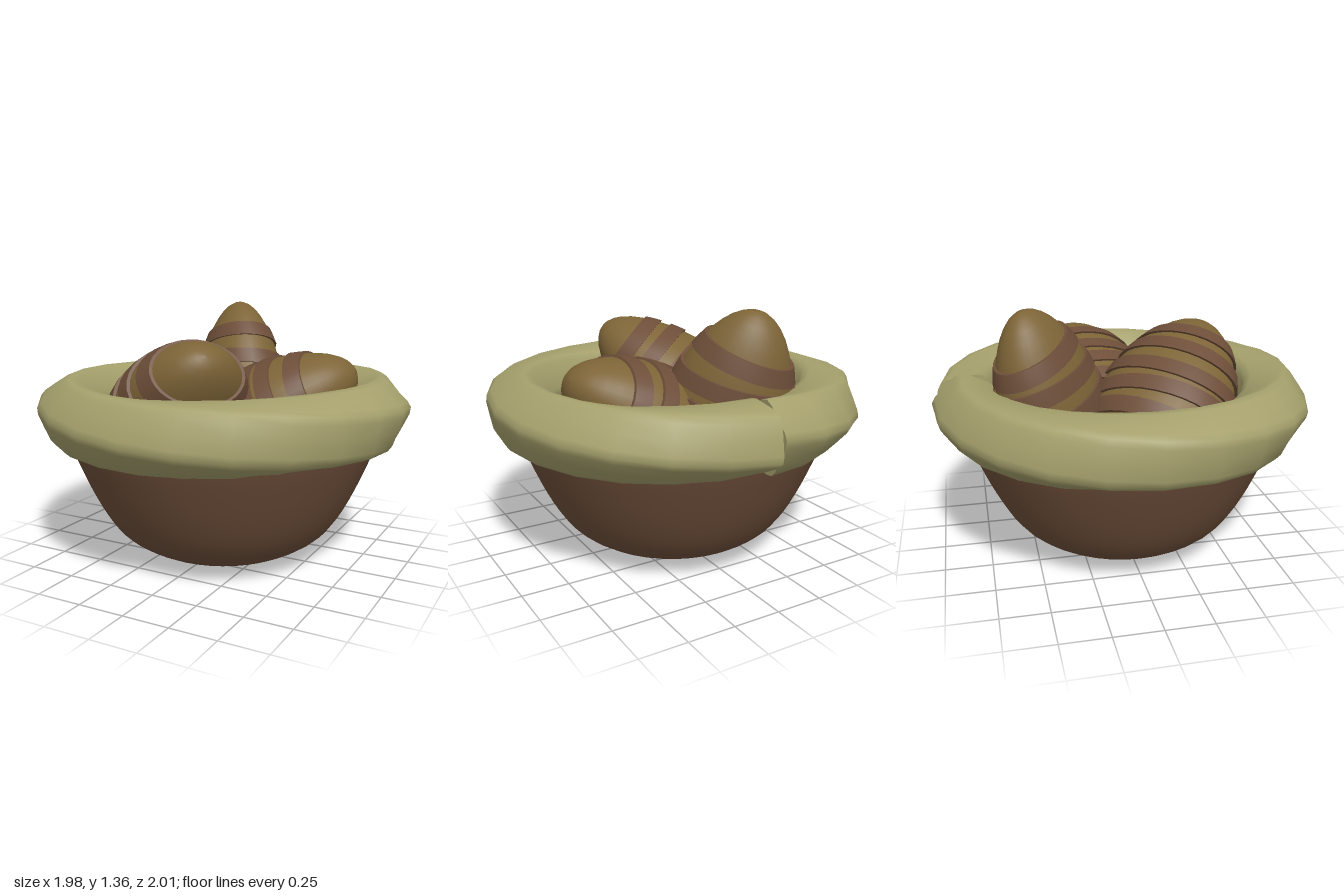
import * as THREE from 'three';
import { toCreasedNormals } from 'three/addons/utils/BufferGeometryUtils.js';

const mat = (name, color) => new THREE.MeshStandardMaterial({ name, color });
const bowlBrown = mat('bowlBrown', 0x6d4e39);
const rimOlive = mat('rimOlive', 0xa5a06c);
const eggTan = mat('eggTan', 0x7d6437);

function mesh(name, geometry, material) {
  const m = new THREE.Mesh(geometry, material);
  m.name = name;
  return m;
}

// Thick-walled bowl: up the outside, back down the inside
function makeBowl() {
  const curve = (list) => new THREE.SplineCurve(list.map(([x, y]) => new THREE.Vector2(x, y))).getPoints(18);
  const outer = curve([[0.23, 0], [0.4, 0.04], [0.55, 0.125], [0.64, 0.225], [0.72, 0.37], [0.79, 0.53], [0.84, 0.66], [0.87, 0.78]]);
  const inner = curve([[0.72, 0.78], [0.7, 0.66], [0.63, 0.45], [0.52, 0.26], [0.36, 0.13], [0.001, 0.08]]);
  const pts = [new THREE.Vector2(0.001, 0), ...outer, ...inner];
  return mesh('bowl', toCreasedNormals(new THREE.LatheGeometry(pts, 40), 0.9), bowlBrown);
}

// Rolled rim: a softened pentagon twisting half a turn, with a seam at the back
function makeRim() {
  const steps = 24, section = [];
  for (let k = 0; k < 5; k++)
    for (const [d, r] of [[-11, 0.178], [0, 0.186], [11, 0.178], [36, 0.162]]) section.push([k * 72 + d, r]);
  const n = section.length, pos = [], index = [];
  const put = (a, rad, y) => pos.push(-Math.sin(a) * rad, y, -Math.cos(a) * rad);
  for (let i = 0; i <= steps; i++) {
    const a = (i / steps) * Math.PI * 2;
    const twist = 81 - (i / steps) * 180;
    for (const [deg, r] of section) {
      const p = THREE.MathUtils.degToRad(deg + twist);
      put(a, 0.82 + r * Math.cos(p), 0.82 + r * Math.sin(p));
    }
  }
  const hub = (steps + 1) * n;
  put(0, 0.82, 0.82);
  for (let j = 0; j < n; j++) {
    const k = (j + 1) % n;
    for (let i = 0; i < steps; i++) {
      const a = i * n + j, b = a + n, c = i * n + k, d = c + n;
      index.push(a, b, c, b, d, c);
    }
    index.push(hub, j, k, hub, steps * n + k, steps * n + j);
  }
  const g = new THREE.BufferGeometry();
  g.setAttribute('position', new THREE.Float32BufferAttribute(pos, 3));
  g.setIndex(index);
  return mesh('rim', toCreasedNormals(g, 1.0), rimOlive);
}

// Flattened egg with raised, slightly tilted bands; y is its long axis, x its wide side
function makeEgg({ name, tip, direction, wide, radius, flat, half, top, seed }) {
  const egg = new THREE.Group();
  egg.name = name;
  const rAt = (t) => radius * Math.sqrt(Math.max(0, 1 - t * t)) * (1 - 0.17 * t);
  const shell = [];
  for (let i = 0; i <= 20; i++) {
    const t = -Math.cos((i / 20) * Math.PI);
    shell.push(new THREE.Vector2(Math.max(rAt(t), 0.0005), t * half));
  }
  egg.add(mesh('eggShell', new THREE.LatheGeometry(shell, 32).scale(1, 1, flat), eggTan));

  for (let b = 0; b < 6; b++) {
    const t1 = top - b * 0.27, t0 = t1 - 0.16, tm = (t0 + t1) / 2;
    // x holds 1 plus the height above the shell until the band is wrapped
    const profile = [[-0.02, t0], [0.016, t0], [0.016, tm], [0.016, t1], [-0.02, t1]]
      .map(([lift, t]) => new THREE.Vector2(1 + lift, t));
    const g = new THREE.LatheGeometry(profile, 32);
    const p = g.attributes.position;
    const phase = seed + b * 2.1, tilt = 0.025 + 0.015 * Math.sin(seed * 3 + b * 1.7);
    for (let i = 0; i < p.count; i++) {
      const x = p.getX(i), z = p.getZ(i), a = Math.atan2(z, x);
      const t = THREE.MathUtils.clamp(p.getY(i) + tilt * Math.cos(a - phase), -0.99, 0.99);
      const r = Math.max(0.001, rAt(t) + Math.hypot(x, z) - 1);
      p.setXYZ(i, Math.cos(a) * r, t * half, Math.sin(a) * r * flat);
    }
    egg.add(mesh('eggBand', toCreasedNormals(g, 0.7), bowlBrown));
  }

  const yAxis = new THREE.Vector3(...direction).normalize();
  const zAxis = new THREE.Vector3(...wide).cross(yAxis).normalize();
  const xAxis = new THREE.Vector3().crossVectors(yAxis, zAxis);
  egg.quaternion.setFromRotationMatrix(new THREE.Matrix4().makeBasis(xAxis, yAxis, zAxis));
  egg.position.set(...tip).addScaledVector(yAxis, -half);
  return egg;
}

const eggs = [
  { name: 'backEgg', tip: [-0.18, 1.35, -0.54], direction: [-0.15, 0.93, -0.28], wide: [1, 0, 0.9],
    radius: 0.325, flat: 0.76, half: 0.53, top: 0.64, seed: 0.4 },
  { name: 'leftEgg', tip: [0.68, 1.04, -0.19], direction: [0.86, 0.5, -0.09], wide: [0.1, 0, 1],
    radius: 0.365, flat: 0.76, half: 0.49, top: 0.58, seed: 1.9 },
  { name: 'frontEgg', tip: [0.17, 1.16, 0.5], direction: [0.61, 0.6, 0.53], wide: [0.66, 0, -0.75],
    radius: 0.365, flat: 0.76, half: 0.53, top: 0.68, seed: 3.2 },
];

export function createModel() {
  const model = new THREE.Group();
  model.name = 'bowlOfEggs';
  model.add(makeBowl(), makeRim(), ...eggs.map(makeEgg));
  return model;
}
